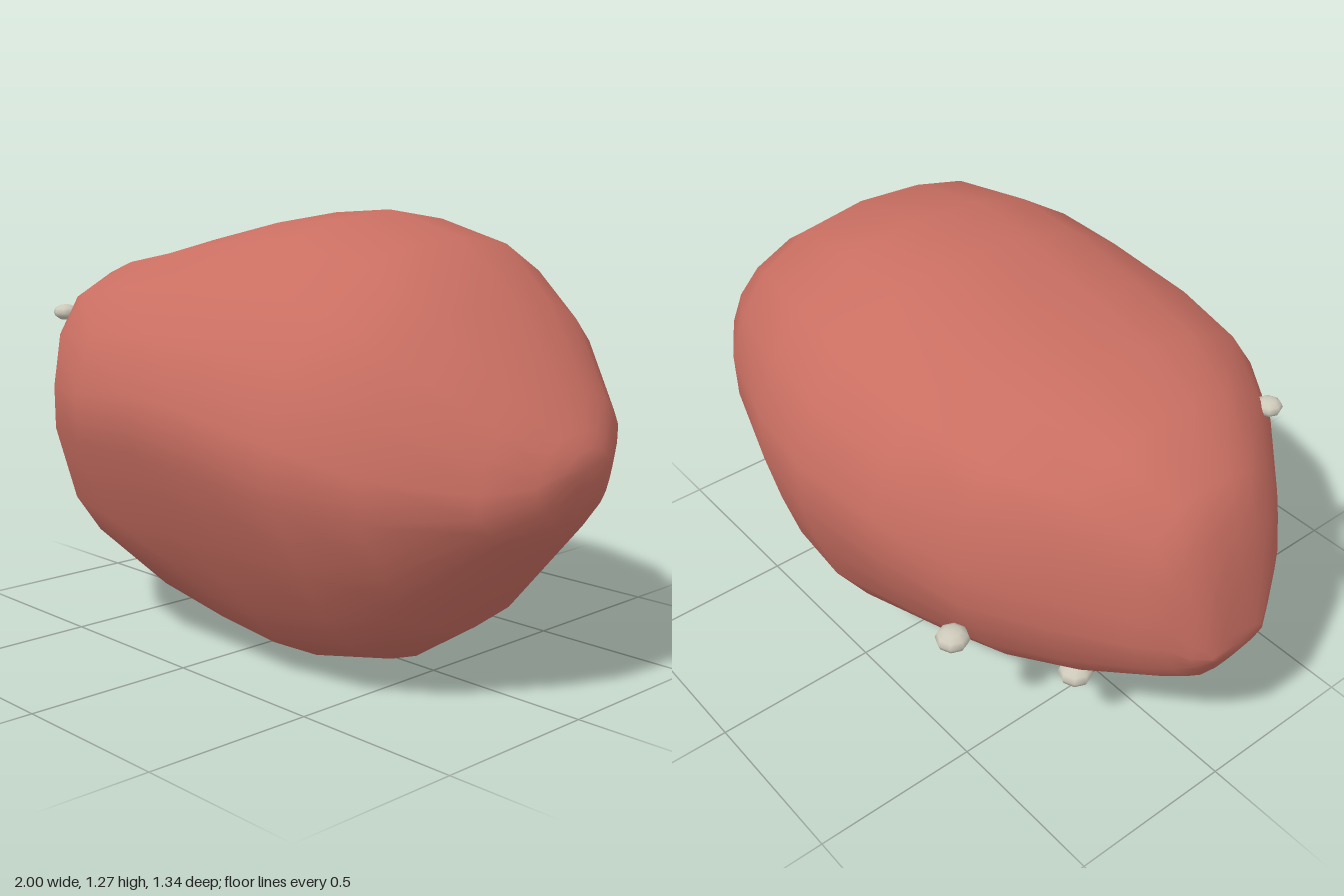
import * as THREE from 'three';

// Stations along x: x, top y, bottom y, front z, back z, height of widest point,
// front/back tilt of that height, roundness of the section
const STATIONS = [
  [-1, 0.55, 0.48, 0.11, 0.08, 0.51, 0, 0.3],
  [-0.97, 0.74, 0.42, 0.16, 0.13, 0.55, 0.02, 0.3],
  [-0.93, 0.87, 0.35, 0.22, 0.18, 0.6, 0.03, 0.4],
  [-0.87, 0.98, 0.31, 0.28, 0.25, 0.63, 0.04, 0.6],
  [-0.7, 1.08, 0.21, 0.43, 0.39, 0.66, 0.04, 0.9],
  [-0.5, 1.13, 0.14, 0.57, 0.53, 0.67, 0.02, 0.9],
  [-0.28, 1.19, 0.075, 0.645, 0.63, 0.71, -0.02, 0.5],
  [0, 1.26, 0.025, 0.67, 0.675, 0.74, -0.02, 0.1],
  [0.22, 1.275, 0, 0.665, 0.65, 0.74, -0.04, 0.1],
  [0.5, 1.21, 0.06, 0.615, 0.56, 0.72, -0.08, 0.3],
  [0.7, 1.06, 0.19, 0.51, 0.44, 0.69, -0.1, 0.4],
  [0.9, 0.84, 0.43, 0.3, 0.27, 0.64, -0.06, 0.4],
  [0.97, 0.75, 0.51, 0.16, 0.15, 0.63, -0.02, 0.3],
  [1, 0.71, 0.61, 0.08, 0.09, 0.655, 0, 0.3],
];

// Middle cross-section (z, y), from the top round the back and up the front
const SECTION = [
  [-0.1, 1.275], [-0.33, 1.24], [-0.5, 1.13], [-0.6, 1.0], [-0.67, 0.84], [-0.67, 0.68],
  [-0.63, 0.52], [-0.58, 0.36], [-0.48, 0.21], [-0.33, 0.11], [-0.12, 0.03], [0.08, 0],
  [0.19, 0.02], [0.35, 0.1], [0.46, 0.25], [0.53, 0.41], [0.67, 0.67], [0.67, 0.83],
  [0.59, 0.98], [0.46, 1.1], [0.3, 1.2], [0.13, 1.25],
];

// Lumpy body: the section is fitted to each station, then closed at both tips
function bodyGeometry() {
  const positions = [];
  const index = [];
  const n = SECTION.length;
  for (const [x, top, bottom, front, back, mid, tilt, round] of STATIONS) {
    for (const [z, y] of SECTION) {
      const s = z / 0.67;
      const h = y > 0.75 ? (y - 0.75) / 0.525 : (y - 0.75) / 0.75;
      // Full above, oval at the lower front, and a flatter facet at the lower back
      const lowerBack = s < 0 && h < 0;
      const power = lowerBack ? 1.4 : h < 0 ? 2.2 : 3;
      const weight = lowerBack ? Math.min(round, 0.4) : round;
      const full = (Math.abs(s) ** power + Math.abs(h) ** power) ** (-1 / power);
      const swell = THREE.MathUtils.lerp(1, full, weight);
      const side = s * swell;
      const k = h * swell;
      const level = mid + tilt * side;
      const py = level + k * (k > 0 ? top - level : level - bottom);
      positions.push(x, py, side * (z > 0 ? front : back));
    }
  }
  const last = STATIONS.length - 1;
  const startTip = positions.length / 3;
  positions.push(-1, 0.51, 0.015, 1, 0.66, -0.005);
  for (let j = 0; j < n; j++) {
    const j2 = (j + 1) % n;
    for (let i = 0; i < last; i++) {
      const a = i * n + j, b = a + n, c = i * n + j2, d = c + n;
      index.push(a, b, c, b, d, c);
    }
    index.push(startTip, j, j2);
    index.push(startTip + 1, last * n + j2, last * n + j);
  }
  const geometry = new THREE.BufferGeometry();
  geometry.setAttribute('position', new THREE.Float32BufferAttribute(positions, 3));
  geometry.setIndex(index);
  geometry.computeVertexNormals();
  return geometry;
}

export function createModel() {
  const model = new THREE.Group();
  model.name = 'lumpyBoulder';

  const red = new THREE.MeshStandardMaterial({ color: 0xca6f62 });
  red.name = 'clay red';
  const grey = new THREE.MeshStandardMaterial({ color: 0xcdc9ba });
  grey.name = 'pale grey';

  const body = new THREE.Mesh(bodyGeometry(), red);
  body.name = 'body';
  model.add(body);

  // Small flattened pebbles half sunk into the surface: x, y, z, radius
  const pebbles = [
    [-0.71, 0.945, 0.38, 0.038],
    [-0.49, 0.48, -0.535, 0.048],
    [-0.65, 0.275, -0.23, 0.05],
    [0.385, 0.227, -0.38, 0.04],
  ];
  const pebbleGeometry = new THREE.SphereGeometry(1, 8, 6);
  pebbles.forEach(([x, y, z, radius], i) => {
    const pebble = new THREE.Mesh(pebbleGeometry, grey);
    pebble.name = 'pebble' + (i + 1);
    pebble.position.set(x, y, z);
    pebble.scale.set(radius, radius * 0.65, radius);
    model.add(pebble);
  });

  return model;
}
